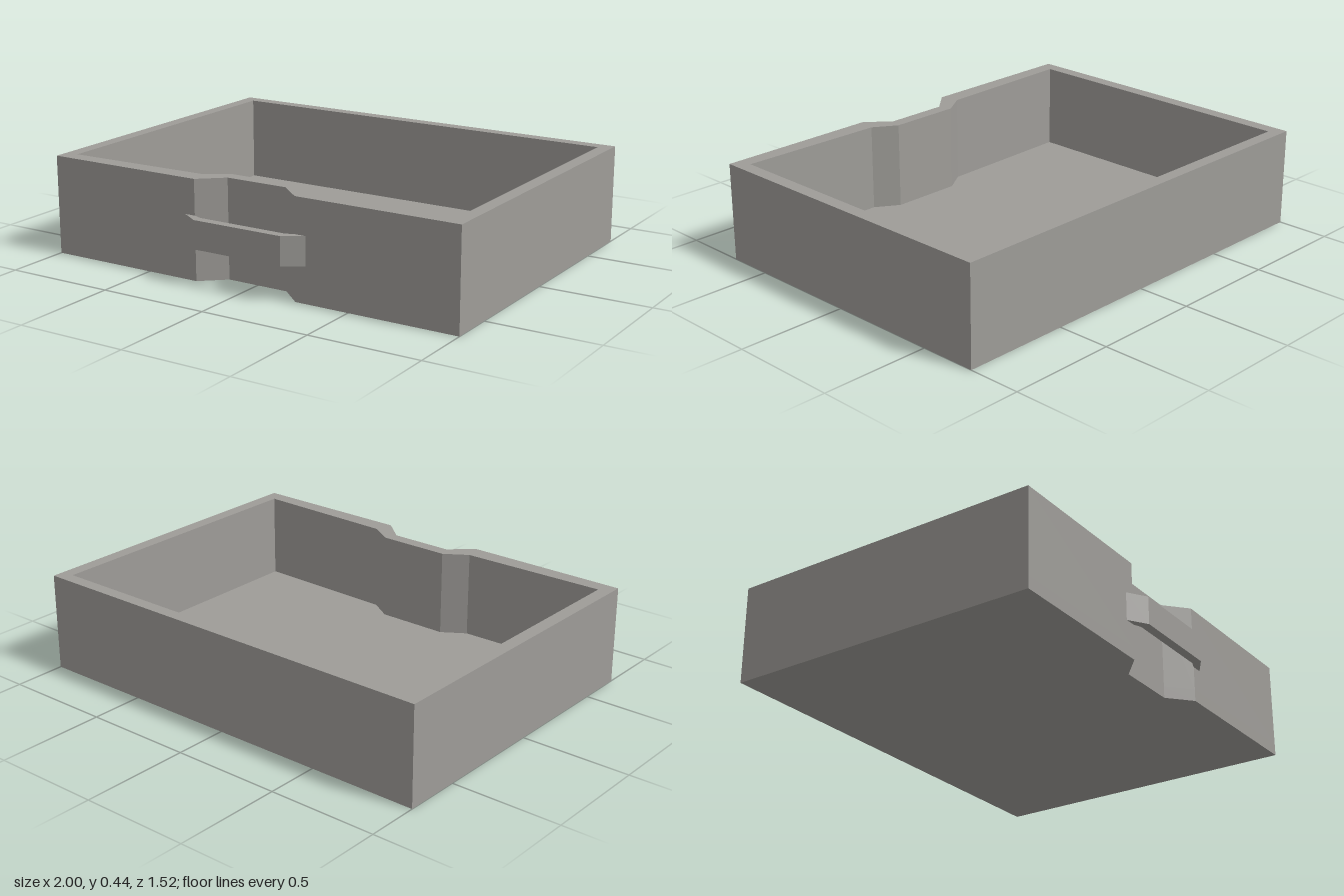
import * as THREE from 'three';

const HEIGHT = 0.445, FLOOR = 0.053;
const FRONT = 0.705, BACK = -0.76;

// Completes a half outline of [x, z] points (+x side) by mirroring it to -x.
function mirrored(half) {
  const other = half.map(([x, z]) => [-x, z]).reverse();
  return [...half, ...other].map(([x, z]) => new THREE.Vector2(x, -z));
}

// Extrudes a plan outline upward from y0 to y1.
function slab(name, outline, hole, y0, y1, material) {
  const shape = new THREE.Shape(outline);
  if (hole) shape.holes.push(new THREE.Path(hole));
  const geometry = new THREE.ExtrudeGeometry(shape, { depth: y1 - y0, bevelEnabled: false });
  geometry.rotateX(-Math.PI / 2);
  geometry.translate(0, y0, 0);
  const mesh = new THREE.Mesh(geometry, material);
  mesh.name = name;
  return mesh;
}

export function createModel() {
  const grey = new THREE.MeshStandardMaterial({ color: 0x9e9c98 });
  grey.name = 'warm grey';

  // Drawer plan with a finger recess in the front
  const outer = mirrored([[0.145, 0.613], [0.25, FRONT], [1, FRONT], [1, BACK]]);
  const inner = mirrored([[0.165, 0.555], [0.27, 0.622], [0.94, 0.638], [0.94, -0.703]]);
  // Bracket-shaped pull, bridging the recess
  const pull = mirrored([[0.21, 0.72], [0.25, FRONT], [0.30, FRONT], [0.215, 0.76]]);

  const model = new THREE.Group();
  model.name = 'drawer';
  model.add(
    slab('floor', outer, null, 0, FLOOR, grey),
    slab('walls', outer, inner, FLOOR, HEIGHT, grey),
    slab('handle', pull, null, 0.16, 0.287, grey),
  );
  return model;
}
